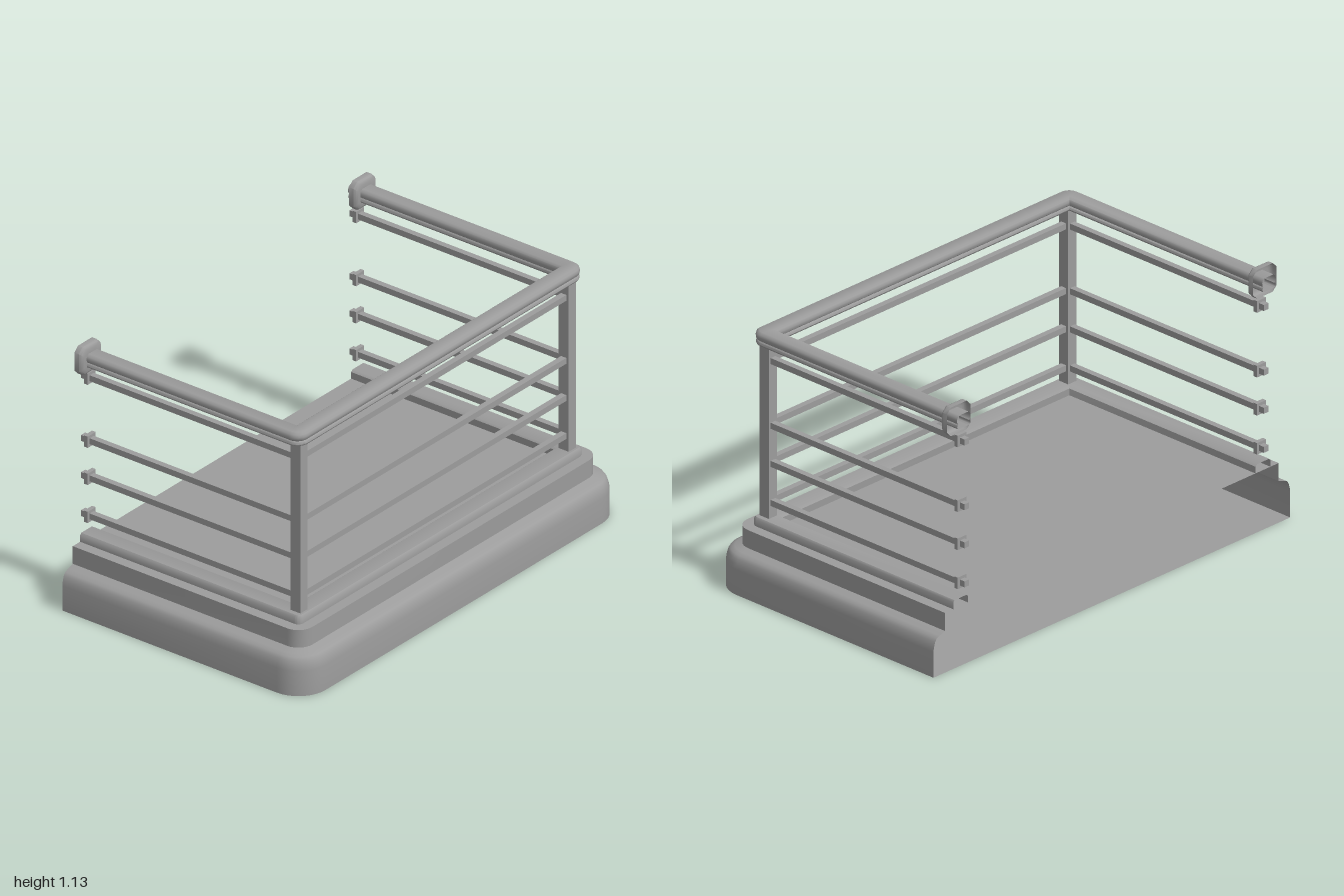
import * as THREE from 'three';
import { toCreasedNormals } from 'three/addons/utils/BufferGeometryUtils.js';

const material = new THREE.MeshStandardMaterial({ color: 0x9c9c9c, side: THREE.DoubleSide });
const X = 0.614, Z = 1, WALL = -0.59, END = -0.615;

function add(parent, name, geometry, x = 0, y = 0, z = 0) {
  const mesh = new THREE.Mesh(geometry, material);
  mesh.name = name;
  mesh.position.set(x, y, z);
  parent.add(mesh);
}

// U-shaped outline with two rounded corners, moved inward by d
function outline(d, radius, startX) {
  const r = Math.max(radius - d, 0.002), cx = X - d - r, cz = Z - d - r, n = 8;
  const points = [[startX, -(Z - d)]];
  for (const side of [-1, 1]) {
    for (let i = 0; i <= n; i++) {
      const a = (side < 0 ? -Math.PI / 2 : 0) + (i / n) * Math.PI / 2;
      points.push([cx + r * Math.cos(a), side * cz + r * Math.sin(a)]);
    }
  }
  points.push([startX, Z - d]);
  return points;
}

// Skin between rows of points that all have the same count
function skin(rows, closedRows) {
  const index = [], n = rows[0].length, last = closedRows ? n : n - 1;
  for (let j = 0; j < rows.length - 1; j++) {
    for (let i = 0; i < last; i++) {
      const k = (i + 1) % n, a = j * n + i, b = j * n + k, c = a + n, d = b + n;
      index.push(a, c, b, b, c, d);
    }
  }
  const g = new THREE.BufferGeometry();
  g.setAttribute('position', new THREE.Float32BufferAttribute(rows.flat(2), 3));
  g.setIndex(index);
  return toCreasedNormals(g, 0.8);
}

// Sweep an (inset, height) profile along the U outline
const sweep = (profile, radius, startX) =>
  skin(profile.map(([d, y]) => outline(d, radius, startX).map(([x, z]) => [x, y, z])), false);

// Flat sheet filling the U outline
const sheet = (d, radius) => new THREE.ShapeGeometry(
  new THREE.Shape(outline(d, radius, WALL).map(([x, z]) => new THREE.Vector2(x, z)))).rotateX(Math.PI / 2);

// Hollow wall plate with cut corners and a rounded rim, open toward the wall
function plate(halfY, halfZ, cut) {
  const rows = [[0, 0], [0.022, 0], [0.031, 0.005], [0.036, 0.015], [0.036, 0.035]].map(([x, inset]) => {
    const h = halfY - inset, w = halfZ - inset, c = Math.min(cut, h * 0.5);
    return [[h, w - c], [h - c, w], [c - h, w], [-h, w - c], [-h, c - w], [c - h, -w], [h - c, -w], [h, c - w]]
      .map(([y, z]) => [x, y, z]);
  });
  return skin(rows, true);
}

export function createModel() {
  const model = new THREE.Group();
  model.name = 'balcony';

  // Stepped slab, open where it meets the wall
  const base = new THREE.Group();
  base.name = 'base';
  model.add(base);
  const corner = 0.135, step = 0.065, floorY = 0.258;
  add(base, 'slabEdge', sweep([
    [0, 0], [0, 0.11], [0.003, 0.13], [0.009, 0.15], [0.018, 0.163], [0.035, 0.17], [step, 0.18],
    [step, floorY], [0.111, floorY], [0.111, 0.287], [0.118, 0.295], [0.185, 0.295], [0.195, 0.287], [0.195, floorY],
  ], corner, WALL));
  add(base, 'underside', sheet(0, corner));
  add(base, 'floor', sheet(step, corner), 0, floorY, 0);

  // Handrail: rounded cap over a lower band
  const railing = new THREE.Group();
  railing.name = 'railing';
  model.add(railing);
  add(railing, 'handrail', sweep([
    [0.116, 1.043], [0.11, 1.046], [0.107, 1.053], [0.109, 1.06], [0.115, 1.064], [0.108, 1.07], [0.106, 1.083],
    [0.109, 1.094], [0.12, 1.102], [0.17, 1.102], [0.18, 1.094], [0.183, 1.083], [0.181, 1.07], [0.174, 1.064],
    [0.18, 1.06], [0.182, 1.053], [0.179, 1.046], [0.173, 1.043], [0.116, 1.043],
  ], 0.16, END));

  // Corner posts and handrail wall plates
  const postX = 0.461, railZ = 0.839;
  for (const s of [-1, 1]) {
    add(railing, 'cornerPost', new THREE.BoxGeometry(0.05, 0.755, 0.046), postX, 0.6675, s * railZ);
    add(railing, 'handrailPlate', plate(0.062, 0.066, 0.022), WALL, 1.073, s * 0.858);
  }

  // Square horizontal bars with small wall collars
  const bar = 0.026, sideLength = postX - END;
  for (const y of [0.361, 0.53, 0.695, 0.975]) {
    add(railing, 'frontBar', new THREE.BoxGeometry(bar, bar, 2 * railZ), postX, y, 0);
    for (const s of [-1, 1]) {
      add(railing, 'sideBar', new THREE.BoxGeometry(sideLength, bar, bar), END + sideLength / 2, y, s * railZ);
      add(railing, 'barCollar', new THREE.BoxGeometry(0.018, 0.05, 0.05), WALL + 0.009, y, s * railZ);
    }
  }
  return model;
}
